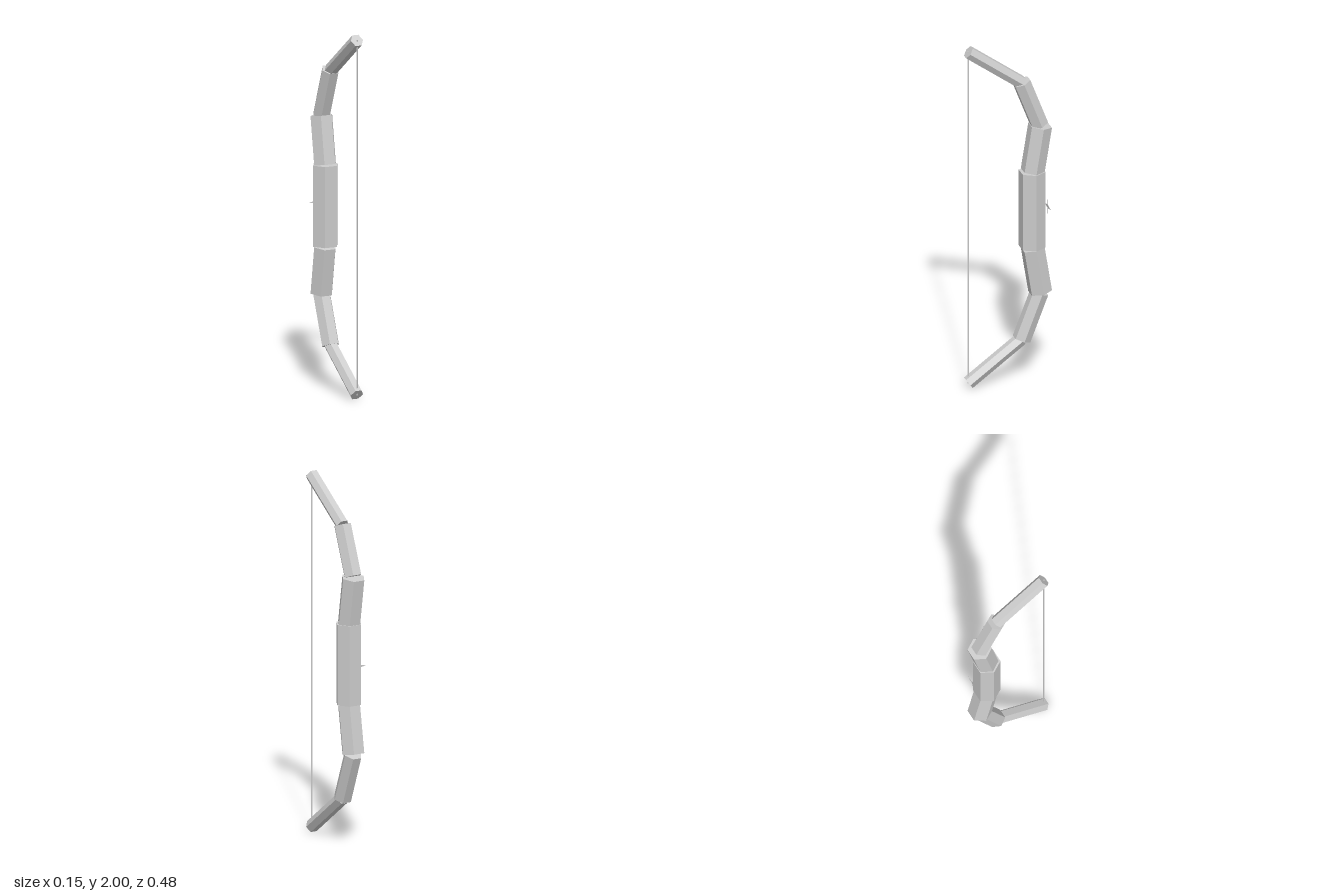
import * as THREE from 'three';

export function createModel() {
  const bow = new THREE.Group();
  bow.name = 'bow';

  const grey = new THREE.MeshStandardMaterial({ color: 0xcccccc, flatShading: true });
  grey.name = 'pale grey';
  const greySheet = new THREE.MeshStandardMaterial({ color: 0xcccccc, side: THREE.DoubleSide });
  greySheet.name = 'pale grey sheet';

  // Straight prism between two [y, z] points, with corners towards +x and -x
  function addRod(name, from, to, radius, sides = 6) {
    const a = new THREE.Vector3(0, ...from);
    const b = new THREE.Vector3(0, ...to);
    const axis = b.clone().sub(a);
    const geometry = new THREE.CylinderGeometry(radius, radius, axis.length(), sides, 1, false, Math.PI / 2);
    const rod = new THREE.Mesh(geometry, grey);
    rod.name = name;
    rod.position.copy(a).add(b).multiplyScalar(0.5);
    rod.quaternion.setFromUnitVectors(new THREE.Vector3(0, 1, 0), axis.normalize());
    bow.add(rod);
  }

  addRod('grip', [0.78, -0.14], [1.225, -0.14], 0.074);

  // Limb sections above the grip, mirrored below it: start, end, radius
  const sections = [
    ['innerLimb', [1.225, -0.143], [1.487, -0.185], 0.066],
    ['middleLimb', [1.493, -0.181], [1.757, -0.08], 0.051],
    ['limbTip', [1.755, -0.078], [1.973, 0.22], 0.037],
  ];
  for (const [name, from, to, radius] of sections) {
    addRod(name + 'Upper', from, to, radius);
    addRod(name + 'Lower', [2 - from[0], from[1]], [2 - to[0], to[1]], radius);
  }

  addRod('string', [0.025, 0.222], [1.975, 0.222], 0.004);

  // Thin four-pointed star in front of the back of the grip
  const star = new THREE.Shape();
  for (let i = 0; i < 8; i++) {
    const angle = (i * Math.PI) / 4;
    const rx = i % 2 ? 0.012 : 0.052;
    const ry = i % 2 ? 0.012 : 0.042;
    const x = Math.cos(angle) * rx;
    const y = Math.sin(angle) * ry;
    if (i) star.lineTo(x, y);
    else star.moveTo(x, y);
  }
  star.closePath();
  const starMesh = new THREE.Mesh(new THREE.ShapeGeometry(star), greySheet);
  starMesh.name = 'star';
  starMesh.position.set(0, 1.003, -0.228);
  starMesh.rotation.y = Math.PI;
  bow.add(starMesh);

  return bow;
}
